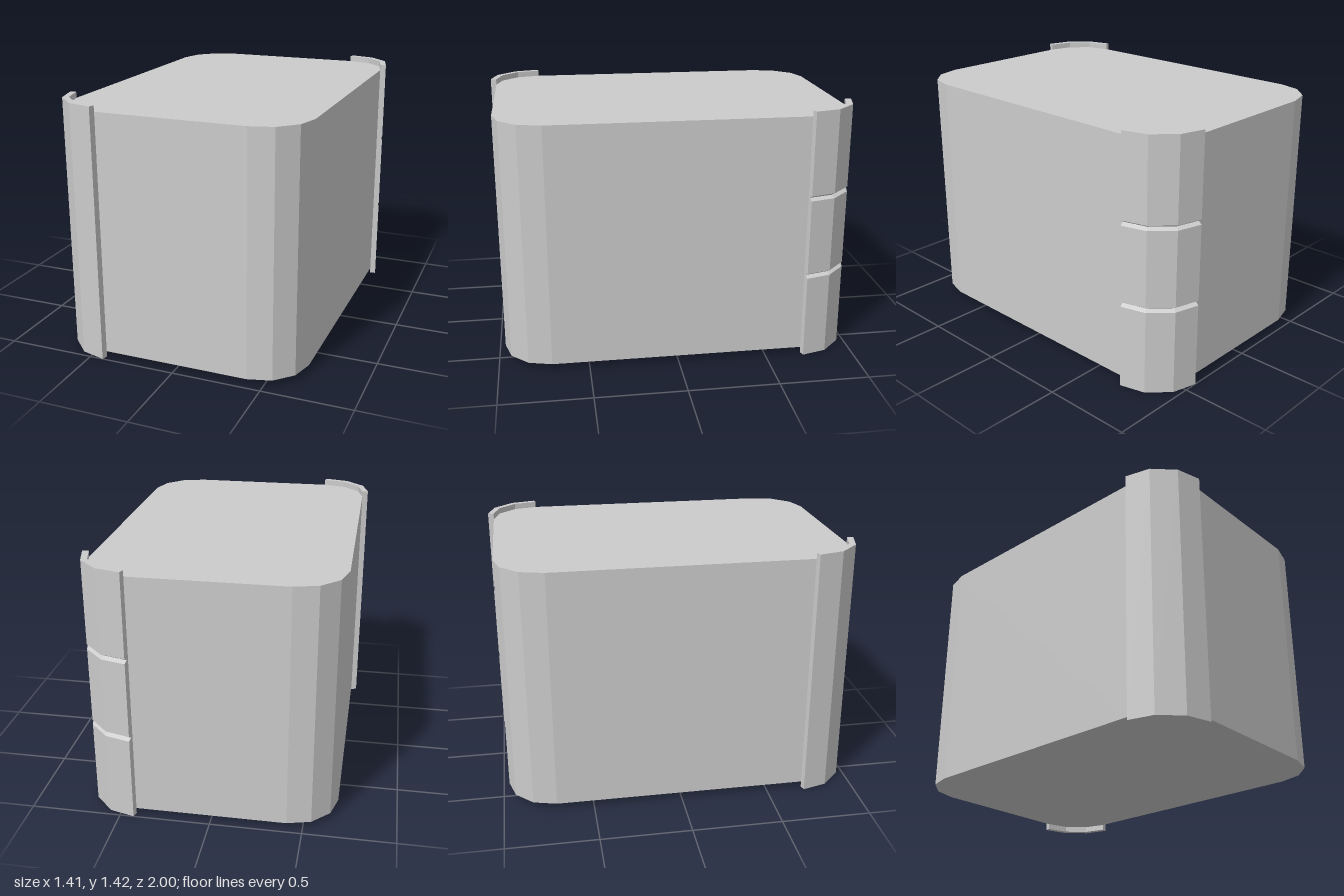
import * as THREE from 'three';

const CX = 0.414, CZ = 0.707, R = 0.26; // corner centre and corner radius
const H = 1.42, THICK = 0.034, STEP = Math.PI / 6;

// Rounded rectangular block, three facets per corner
function bodyGeometry() {
  const points = [];
  for (let q = 0; q < 4; q++) {
    const sx = q === 0 || q === 3 ? 1 : -1, sz = q < 2 ? 1 : -1;
    for (let i = 0; i < 4; i++) {
      const a = q * Math.PI / 2 + i * STEP;
      points.push(new THREE.Vector2(sx * CX + R * Math.cos(a), sz * CZ + R * Math.sin(a)));
    }
  }
  const g = new THREE.ExtrudeGeometry(new THREE.Shape(points), { depth: 1.354, bevelEnabled: false });
  return g.rotateX(-Math.PI / 2).translate(0, 0.033, 0);
}

// Angle strip: a (thickness, height) section swept round one corner
function guardGeometry(sx, sz, startAngle, grooves) {
  const s = new THREE.Shape();
  s.moveTo(0, 0);
  s.lineTo(THICK, 0);
  for (const y of grooves) {
    s.lineTo(THICK, y - 0.014);
    s.lineTo(THICK - 0.022, y);
    s.lineTo(THICK, y + 0.014);
  }
  s.lineTo(THICK, H);
  s.lineTo(0, H);
  s.closePath();
  const g = new THREE.ExtrudeGeometry(s, { depth: 3, steps: 3, bevelEnabled: false });
  const p = g.attributes.position;
  for (let i = 0; i < p.count; i++) {
    const k = Math.round(p.getZ(i)), d = p.getX(i);
    const a = startAngle + k * STEP;
    // ends are cut square to their facet, inner joints are mitred
    const end = k === 0 ? 1 : k === 3 ? -1 : 0;
    const n = a + end * STEP / 2;
    const off = end ? d : d / Math.cos(STEP / 2);
    p.setXYZ(i,
      sx * CX + R * Math.cos(a) + off * Math.cos(n),
      p.getY(i),
      sz * CZ + R * Math.sin(a) + off * Math.sin(n));
  }
  g.computeVertexNormals();
  return g;
}

export function createModel() {
  const grey = new THREE.MeshStandardMaterial({ color: 0xcccccc });
  grey.name = 'lightGrey';
  const model = new THREE.Group();
  model.name = 'blockWithCornerGuards';
  const add = (name, geometry) => {
    const mesh = new THREE.Mesh(geometry, grey);
    mesh.name = name;
    model.add(mesh);
  };
  add('body', bodyGeometry());
  add('plainCornerGuard', guardGeometry(-1, 1, Math.PI / 2, []));
  add('groovedCornerGuard', guardGeometry(1, -1, -Math.PI / 2, [0.487, 0.94]));
  return model;
}
